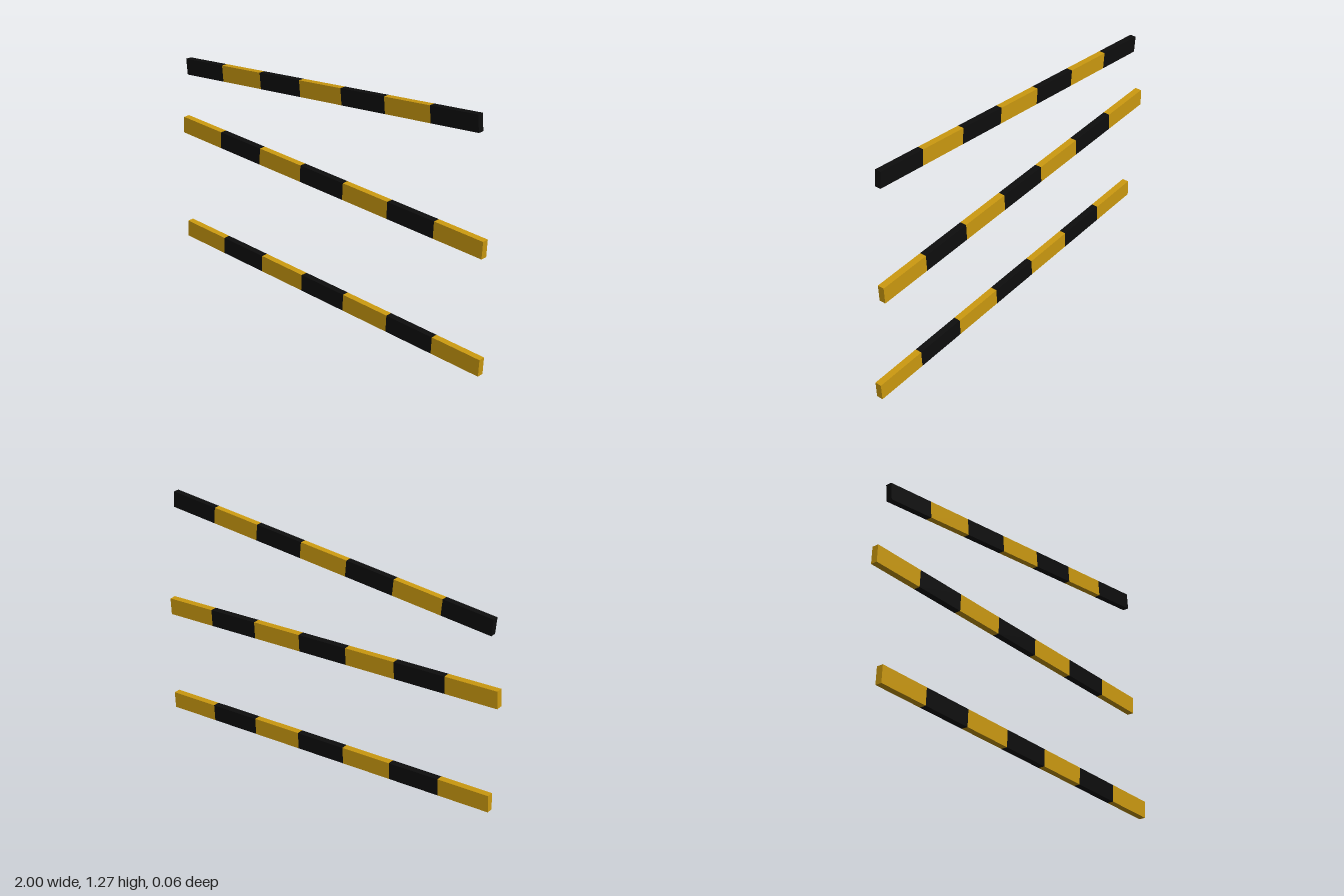
import * as THREE from 'three';

const yellow = new THREE.MeshStandardMaterial({ color: 0xcc9a10 });
yellow.name = 'warning yellow';
const black = new THREE.MeshStandardMaterial({ color: 0x0d0d0d });
black.name = 'matte black';

const BANDS = 7;

// A barrier plank made of equal bands in alternating colours
function makePlank({ name, length, height, depth, position, tilt, colors }) {
  const plank = new THREE.Group();
  plank.name = name;
  const step = length / BANDS;
  const geometry = new THREE.BoxGeometry(step, height, depth);
  for (let i = 0; i < BANDS; i++) {
    const band = new THREE.Mesh(geometry, colors[i % 2]);
    band.name = `${name}Band${i + 1}`;
    band.position.x = (i - (BANDS - 1) / 2) * step;
    plank.add(band);
  }
  plank.position.set(...position);
  plank.rotation.z = tilt;
  return plank;
}

export function createModel() {
  const model = new THREE.Group();
  model.name = 'barrierPlanks';
  model.add(
    // Slightly smaller top plank, black at both ends
    makePlank({
      name: 'topPlank', length: 1.874, height: 0.084, depth: 0.032,
      position: [-0.008, 1.143, 0.002], tilt: 0.0895, colors: [black, yellow],
    }),
    // Lower planks, yellow at both ends
    makePlank({
      name: 'middlePlank', length: 1.966, height: 0.089, depth: 0.035,
      position: [-0.016, 0.673, -0.0145], tilt: -0.0485, colors: [yellow, black],
    }),
    makePlank({
      name: 'bottomPlank', length: 1.966, height: 0.089, depth: 0.035,
      position: [0.016, 0.0922, 0.0145], tilt: -0.0485, colors: [yellow, black],
    }),
  );
  return model;
}
